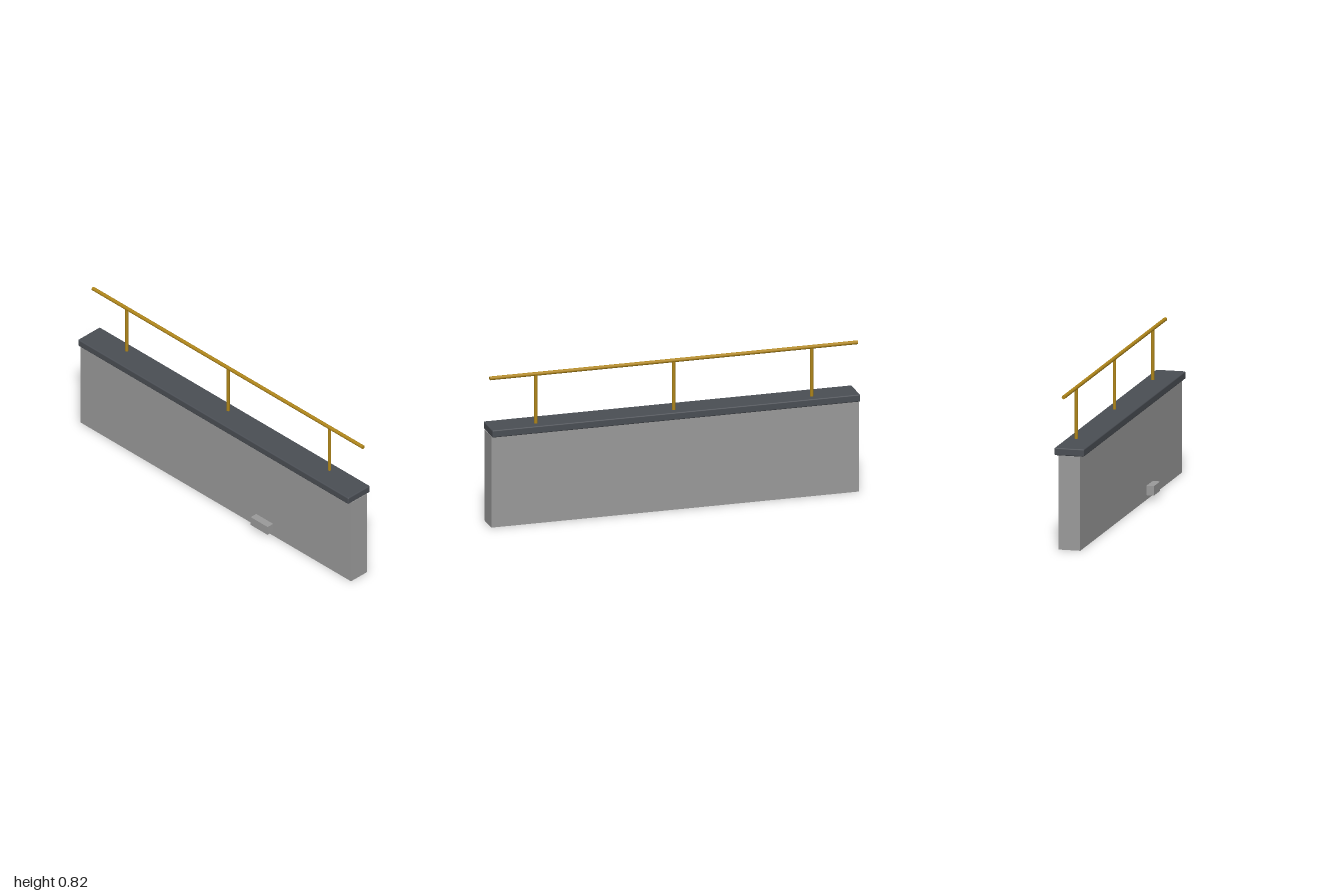
import * as THREE from 'three';
import { RoundedBoxGeometry } from 'three/addons/geometries/RoundedBoxGeometry.js';

export function createModel() {
  const model = new THREE.Group();
  model.name = 'parapetWall';

  const stone = new THREE.MeshStandardMaterial({ color: 0x9a9a9a });
  const slate = new THREE.MeshStandardMaterial({ color: 0x4a4e54 });
  const brass = new THREE.MeshStandardMaterial({ color: 0xb0861a });

  const add = (name, geometry, material, x, y, z) => {
    const mesh = new THREE.Mesh(geometry, material);
    mesh.name = name;
    mesh.position.set(x, y, z);
    model.add(mesh);
    return mesh;
  };

  // Wall body and the overhanging coping with softened edges
  add('wall', new THREE.BoxGeometry(2, 0.5, 0.118), stone, 0, 0.25, -0.009);
  add('coping', new RoundedBoxGeometry(2, 0.04, 0.16, 3, 0.006), slate, 0, 0.52, -0.01);

  // Small block low on the front face
  add('outletBlock', new THREE.BoxGeometry(0.125, 0.05, 0.041), stone, 0.362, 0.05, 0.07);

  // Handrail along the full length, carried on three posts
  const railY = 0.811, railZ = -0.04, base = 0.535;
  const rail = add('handrail', new THREE.CylinderGeometry(0.01, 0.01, 2, 16), brass, 0, railY, railZ);
  rail.rotation.z = Math.PI / 2;
  const post = new THREE.CylinderGeometry(0.009, 0.009, railY - base, 8);
  for (const x of [-0.75, 0, 0.75]) {
    add('railPost', post, brass, x, (railY + base) / 2, railZ);
  }

  return model;
}
